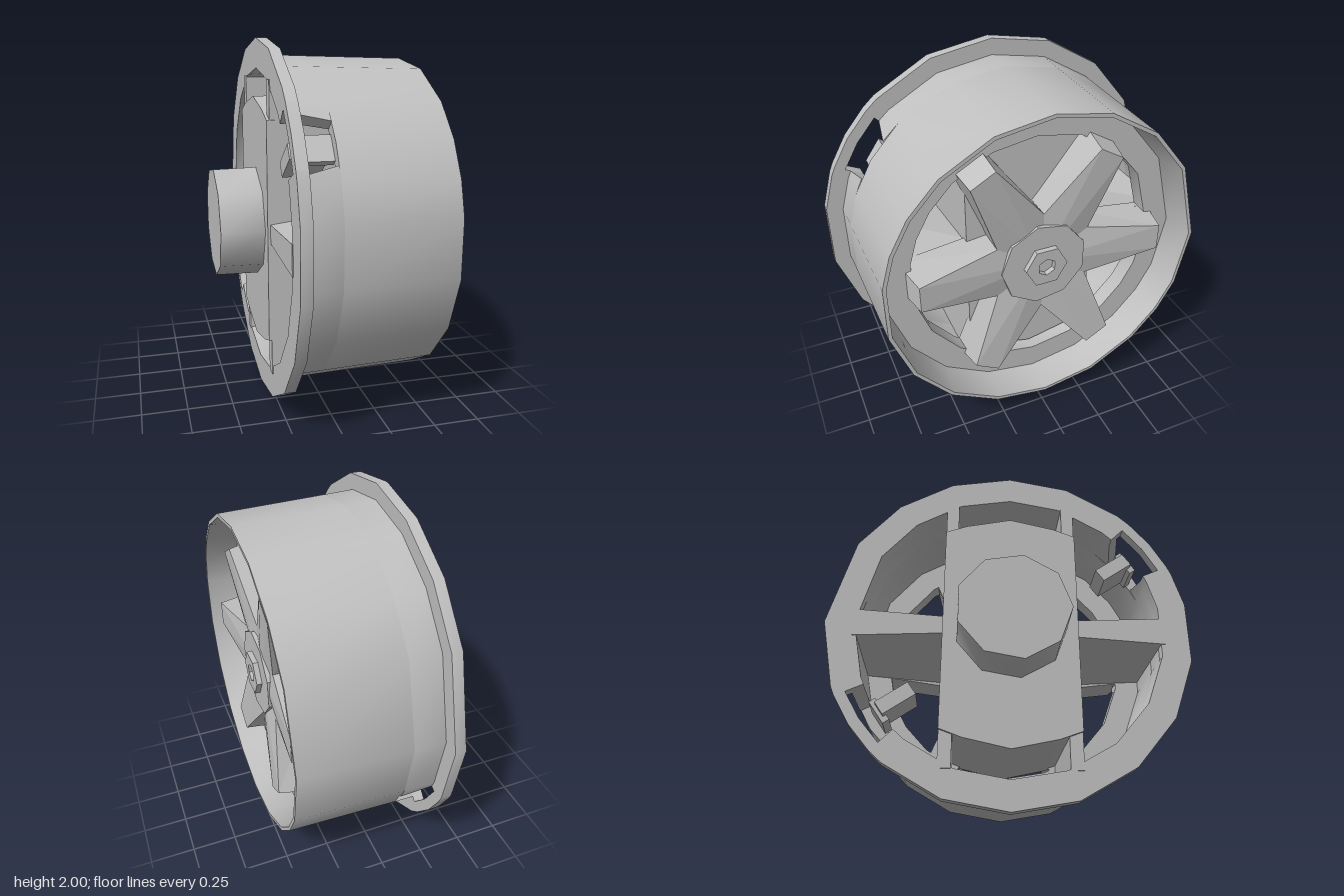
import * as THREE from 'three';

const rad = Math.PI / 180;
const steel = new THREE.MeshStandardMaterial({ color: 0xc0c0c0 });
steel.name = 'steelGrey';

// point at axial position x, radius r and angle a (degrees from +z towards +y)
const polar = (x, r, a) => [x, r * Math.sin(a * rad), r * Math.cos(a * rad)];

function mesh(name, geometry) {
  const m = new THREE.Mesh(geometry, steel);
  m.name = name;
  return m;
}

// Revolve a closed [x, r] profile about the x axis through the given angles.
// Each profile edge is its own strip, so it is smooth around and sharp across.
function sweep(profile, angles, closed, taper = 0) {
  const pos = [], idx = [];
  const n = angles.length, m = profile.length;
  const point = ([x, r], i) => {
    let a = angles[i];
    const shift = taper * (x + 0.23) / 0.17;
    if (!closed && i === 0) a -= shift;
    if (!closed && i === n - 1) a += shift;
    return polar(x, r, a);
  };
  for (let j = 0; j < m; j++) {
    const base = pos.length / 3;
    for (let i = 0; i < n; i++) pos.push(...point(profile[j], i), ...point(profile[(j + 1) % m], i));
    for (let i = 0; i < (closed ? n : n - 1); i++) {
      const a = base + 2 * i, d = base + 2 * ((i + 1) % n);
      idx.push(a, a + 1, d + 1, a, d + 1, d);
    }
  }
  if (!closed) {
    for (const end of [0, n - 1]) {
      const b = pos.length / 3;
      profile.forEach((p) => pos.push(...point(p, end)));
      if (end === 0) idx.push(b, b + 2, b + 1, b, b + 3, b + 2);
      else idx.push(b, b + 1, b + 2, b, b + 2, b + 3);
    }
  }
  const g = new THREE.BufferGeometry();
  g.setAttribute('position', new THREE.Float32BufferAttribute(pos, 3));
  g.setIndex(idx);
  g.computeVertexNormals();
  return g;
}

// Flat-faced solid between a back loop and a front loop, with fan caps
function loft(back, front, backCentre, frontCentre) {
  const pos = [];
  back.forEach((b, i) => {
    const k = (i + 1) % back.length;
    pos.push(...b, ...front[i], ...front[k], ...b, ...front[k], ...back[k]);
    pos.push(...frontCentre, ...front[k], ...front[i]);
    pos.push(...backCentre, ...b, ...back[k]);
  });
  const g = new THREE.BufferGeometry();
  g.setAttribute('position', new THREE.Float32BufferAttribute(pos, 3));
  g.computeVertexNormals();
  return g;
}

// Plate with a (z, y) outline, its front at xFront and its depth going to -x
function plate(shape, xFront, depth) {
  const g = new THREE.ExtrudeGeometry(shape, { depth, bevelEnabled: false });
  return g.rotateY(-Math.PI / 2).translate(xFront, 0, 0);
}

function polygon(sides, r, start, Type = THREE.Shape) {
  const pts = [];
  for (let i = 0; i < sides; i++) {
    const a = (start + 360 * i / sides) * rad;
    pts.push(new THREE.Vector2(r * Math.cos(a), r * Math.sin(a)));
  }
  return new Type(pts);
}

// Six-armed outline; valleys lie at radius 0.3 between the arms
function starLoop(tipX, valleyX, tipR, half) {
  const pts = [];
  for (let a = 0; a < 360; a += 60) {
    const w = Math.atan2(half, tipR) / rad;
    const r = Math.hypot(half, tipR);
    pts.push(polar(tipX, r, a - w), polar(tipX, r, a + w), polar(valleyX, 0.3, a + 30));
  }
  return pts;
}

export function createModel() {
  const model = new THREE.Group();
  model.name = 'wheel';
  const wheel = new THREE.Group();
  wheel.name = 'wheelBody';
  wheel.position.y = 1;
  model.add(wheel);

  // uneven facets of the rim
  const around = [10, 22, 35, 50, 70, 90, 110, 130, 150, 180, 202, 215, 230, 250, 270, 290, 310, 330, 350];
  const arcs = [
    [45, 50, 70, 90, 110, 130, 150, 180, 202, 205],
    [225, 230, 250, 270, 290, 310, 330, 350, 370, 382, 385],
  ];
  const notches = [[25, 35, 45], [205, 215, 225]];

  // Rim: drum, notched drum base and notched flange
  wheel.add(mesh('drum', sweep([[-0.06, 0.905], [0.54, 0.89], [0.54, 0.87], [0.34, 0.84], [-0.06, 0.84]], around, true)));
  arcs.forEach((arc) => {
    wheel.add(mesh('drumBase', sweep([[-0.23, 0.91], [-0.06, 0.905], [-0.06, 0.84], [-0.23, 0.84]], arc, false, 2.7)));
    wheel.add(mesh('flange', sweep([[-0.29, 1], [-0.23, 1], [-0.23, 0.84], [-0.29, 0.84]], arc, false)));
  });
  notches.forEach((arc) => {
    wheel.add(mesh('flangeBridge', sweep([[-0.29, 1], [-0.23, 1], [-0.23, 0.94], [-0.29, 0.94]], arc, false)));
  });

  // Ring behind the arm tips
  wheel.add(mesh('innerRing', sweep([[0.26, 0.85], [0.36, 0.85], [0.36, 0.7], [0.26, 0.7]], around, true)));

  // Deep central block with chamfered ends
  const outline = [[0.37, -0.59], [0.37, 0.59], [0.25, 0.635], [0, 0.69], [-0.25, 0.635],
    [-0.37, 0.59], [-0.37, -0.59], [-0.25, -0.635], [0, -0.69], [0.25, -0.635]];
  const block = new THREE.Shape(outline.map(([z, y]) => new THREE.Vector2(z, y)));
  wheel.add(mesh('centreBlock', plate(block, 0.3, 0.61)));

  // Star of six arms, slightly dished
  wheel.add(mesh('spokeStar', loft(starLoop(0.26, 0.26, 0.74, 0.085), starLoop(0.5, 0.45, 0.69, 0.075),
    [0.26, 0, 0], [0.45, 0, 0])));

  // Gussets from the block to the drum
  const section = (x, inner, outer) => [[x, -inner, 0.3], [x, -outer, 0.85], [x, outer, 0.85], [x, inner, 0.3]];
  const gusset = loft(section(-0.295, 0.047, 0.078), section(0.3, 0.12, 0.08), [-0.295, 0, 0.57], [0.3, 0, 0.57]);
  for (const angle of [0, 180]) {
    const m = mesh('sideGusset', gusset);
    m.rotation.x = angle * rad;
    wheel.add(m);
  }
  for (const sy of [-1, 1]) for (const sz of [-1, 1]) {
    const fin = mesh('cornerFin', new THREE.BoxGeometry(0.595, 0.25, 0.07));
    fin.position.set(0.0025, sy * 0.665, sz * 0.334);
    wheel.add(fin);
  }

  // Clips at the two notches
  for (const angle of [35, 215]) {
    const clip = new THREE.Group();
    clip.name = 'clip';
    clip.rotation.x = -angle * rad;
    const arm = mesh('clipArm', new THREE.BoxGeometry(0.19, 0.08, 0.2));
    arm.position.set(-0.175, 0, 0.73);
    const pad = mesh('clipPad', new THREE.BoxGeometry(0.17, 0.14, 0.04));
    pad.position.set(-0.145, 0, 0.83);
    clip.add(arm, pad);
    wheel.add(clip);
  }

  // Hub cap and hollow nut on the front
  wheel.add(mesh('hubCap', plate(polygon(9, 0.245, 0), 0.475, 0.06)));
  const nut = polygon(6, 0.12, 0);
  nut.holes.push(polygon(6, 0.052, 30, THREE.Path));
  wheel.add(mesh('nut', plate(nut, 0.505, 0.04)));

  // Axle stub at the back
  wheel.add(mesh('axleStub', sweep([[-0.545, 0.305], [-0.3, 0.31], [-0.3, 0.001], [-0.545, 0.001]],
    [0, 40, 80, 120, 160, 200, 240, 280, 320], true)));
  return model;
}
